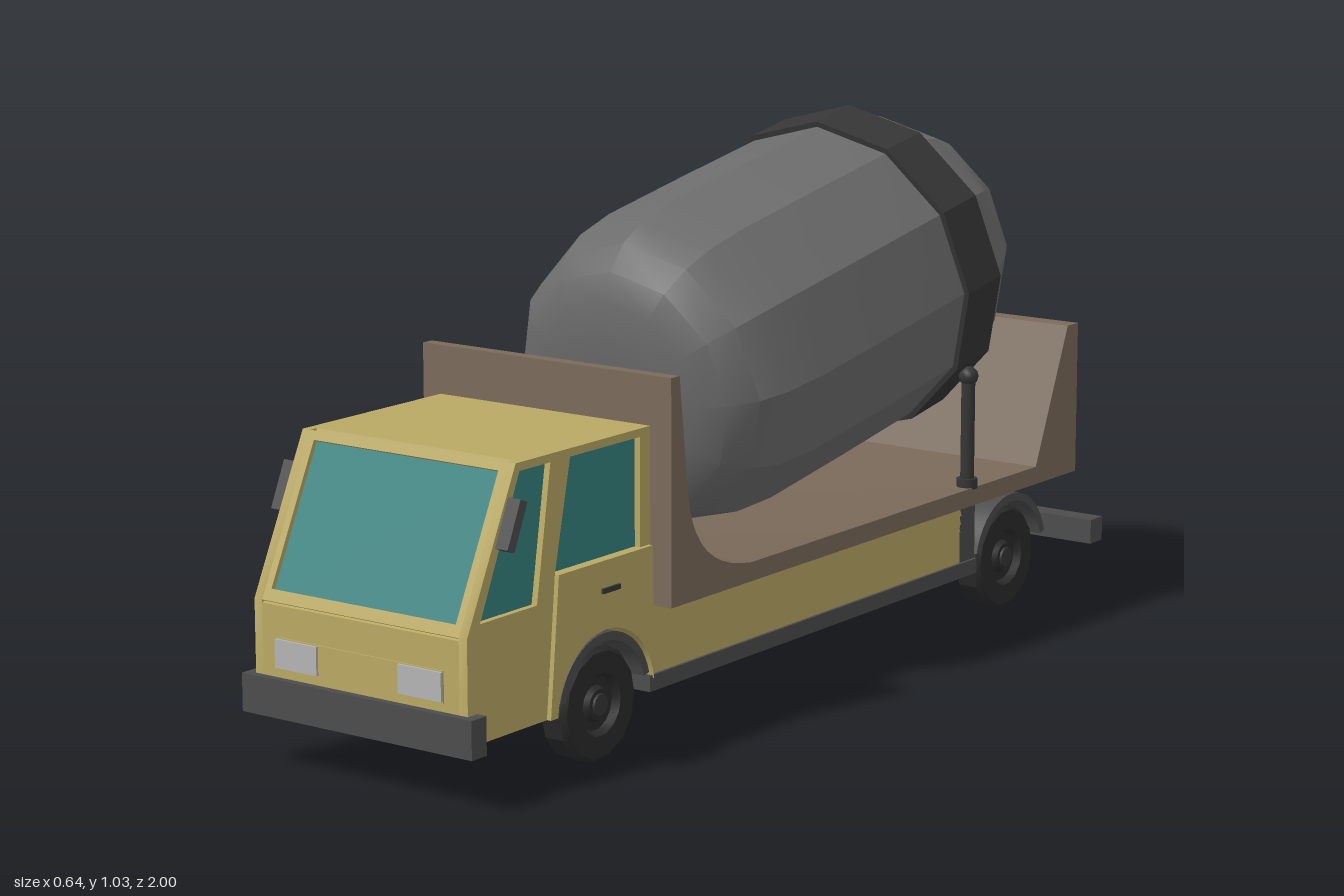
import * as THREE from 'three';
import { toCreasedNormals } from 'three/addons/utils/BufferGeometryUtils.js';

const mat = (color, side = THREE.FrontSide) => new THREE.MeshStandardMaterial({ color, side });
const YELLOW = mat(0xbaa964), BROWN = mat(0x7a6a5a), GLASS = mat(0x35827f), DRUM = mat(0x6c6c6c, THREE.DoubleSide);
const DARK = mat(0x363636), STEEL = mat(0x4c4c4c), TYRE = mat(0x2b2b2b), LAMP = mat(0xb4b4b4);
const AXLES = [0.61, -0.74], AXLE_Y = 0.11;

export function createModel() {
  const root = new THREE.Group();
  root.name = 'mixerTruck';

  const add = (name, geo, material, parent = root) => {
    const m = new THREE.Mesh(geo, material);
    m.name = name;
    parent.add(m);
    return m;
  };
  // Box given by its limits on each axis
  const box = (name, [x0, x1], [y0, y1], [z0, z1], material, parent) =>
    add(name, new THREE.BoxGeometry(x1 - x0, y1 - y0, z1 - z0)
      .translate((x0 + x1) / 2, (y0 + y1) / 2, (z0 + z1) / 2), material, parent);
  // Side profile (z, y) extruded across x
  const slab = (name, shape, x0, x1, material, crease = 0.5) => {
    const geo = new THREE.ExtrudeGeometry(shape, { depth: x1 - x0, bevelEnabled: false, curveSegments: 10 });
    geo.rotateY(-Math.PI / 2).translate(x1, 0, 0);
    return add(name, toCreasedNormals(geo, crease), material);
  };
  // Same slab on both sides of the truck
  const slabPair = (name, shape, x0, x1, material) => {
    slab(name + 'Left', shape, x0, x1, material);
    slab(name + 'Right', shape, -x1, -x0, material);
  };
  const poly = pts => new THREE.Shape(pts.map(p => new THREE.Vector2(...p)));

  // Cab: core with wheel arch, side skins with window openings
  const arch = shape => shape.absarc(AXLES[0], AXLE_Y, 0.14, 3.0, 0.07, true);
  const core = poly([[0.985, 0.12], [0.985, 0.305], [0.968, 0.31], [0.833, 0.59], [0.47, 0.59], [0.47, 0.13]]);
  arch(core);
  slab('cabCore', core, -0.222, 0.222, YELLOW);
  const windows = [
    [[0.95, 0.33], [0.84, 0.575], [0.755, 0.575], [0.795, 0.33]],
    [[0.745, 0.375], [0.70, 0.575], [0.50, 0.575], [0.50, 0.375]],
  ];
  const skin = poly([[0.985, 0.12], [0.985, 0.31], [0.85, 0.59], [0.47, 0.59], [0.47, 0.13]]);
  arch(skin);
  skin.holes = windows.map(w => new THREE.Path(w.map(p => new THREE.Vector2(...p))));
  slabPair('cabSide', skin, 0.222, 0.24, YELLOW);
  windows.forEach((w, i) => slabPair(['quarterWindow', 'doorWindow'][i], poly(w), 0.22, 0.228, GLASS));
  const door = poly([[0.77, 0.12], [0.745, 0.375], [0.475, 0.375], [0.472, 0.13]]);
  arch(door);
  slabPair('doorPanel', door, 0.238, 0.249, YELLOW);

  // Sloping windscreen with its frame
  const screen = new THREE.Group();
  screen.name = 'windscreen';
  screen.position.set(0, 0.31, 0.985);
  screen.rotation.x = -Math.atan2(0.135, 0.28);
  root.add(screen);
  const frame = poly([[-0.24, 0], [0.24, 0], [0.24, 0.311], [-0.24, 0.311]]);
  frame.holes.push(new THREE.Path([[-0.208, 0.022], [-0.208, 0.294], [0.208, 0.294], [0.208, 0.022]]
    .map(p => new THREE.Vector2(...p))));
  add('windscreenFrame', new THREE.ExtrudeGeometry(frame, { depth: 0.015, bevelEnabled: false })
    .translate(0, 0, -0.015), YELLOW, screen);
  box('windscreenGlass', [-0.215, 0.215], [0.015, 0.3], [-0.02, -0.009], GLASS, screen);

  // Cab details
  box('frontBumper', [-0.26, 0.26], [0.105, 0.175], [0.96, 1.0], STEEL);
  box('lampPanel', [-0.188, 0.188], [0.19, 0.248], [0.97, 0.988], YELLOW);
  for (const s of [-1, 1]) {
    const side = (a, b) => (s > 0 ? [a, b] : [-b, -a]);
    box('headlight', side(0.092, 0.188), [0.194, 0.246], [0.97, 0.993], LAMP);
    box('doorHandle', side(0.245, 0.254), [0.317, 0.326], [0.575, 0.625], DARK);
    const mirror = box('mirror', side(0.24, 0.267), [-0.045, 0.045], [-0.01, 0.01], STEEL);
    mirror.position.set(0, 0.49, 0.88);
    mirror.rotation.x = -0.42;

    // Chassis sides
    box('sidePanel', side(0.225, 0.24), [0.13, 0.27], [-0.56, 0.47], YELLOW);
    box('chassisRail', side(0.205, 0.246), [0.105, 0.135], [-0.61, 0.48], STEEL);

    // Wheels and mudguards
    for (const z of AXLES) {
      const wheel = new THREE.Group();
      wheel.name = 'wheel';
      wheel.position.set(s * 0.205, AXLE_Y, z);
      wheel.rotation.z = -s * Math.PI / 2;
      root.add(wheel);
      const tyre = [[0, -0.03], [0.095, -0.03], [0.106, -0.02], [0.106, 0.02], [0.098, 0.03],
        [0.058, 0.03], [0.05, 0.016], [0.034, 0.016], [0.028, 0.026], [0, 0.026]];
      add('tyre', toCreasedNormals(new THREE.LatheGeometry(
        tyre.map(p => new THREE.Vector2(...p)), 14), 0.4), TYRE, wheel);
      add('hub', new THREE.CylinderGeometry(0.02, 0.02, 0.006, 10).translate(0, 0.028, 0), DARK, wheel);

      const guard = new THREE.Shape();
      guard.absarc(z, AXLE_Y, 0.133, 0.25, Math.PI - 0.25, false);
      guard.absarc(z, AXLE_Y, 0.117, Math.PI - 0.25, 0.25, true);
      slab('mudguard', guard, ...side(0.165, 0.245), STEEL, 0.2);
    }

    // Drum support posts
    add('drumPost', new THREE.CylinderGeometry(0.014, 0.014, 0.23, 10)
      .translate(s * 0.265, 0.41, -0.54), DARK);
    add('postFoot', new THREE.CylinderGeometry(0.021, 0.021, 0.02, 10)
      .translate(s * 0.265, 0.305, -0.54), DARK);
    add('postCap', new THREE.SphereGeometry(0.02, 10, 6).translate(s * 0.265, 0.52, -0.54), DARK);
  }
  box('rearCrossMember', [-0.24, 0.24], [0.11, 0.268], [-0.61, -0.555], STEEL);
  box('rearBumper', [-0.305, 0.305], [0.105, 0.155], [-1.0, -0.955], STEEL);

  // Load bed with a curved front wall and sloping tail wall
  const bed = poly([[0.465, 0.262], [0.465, 0.68], [0.44, 0.68], [0.415, 0.46]]);
  bed.bezierCurveTo(0.40, 0.36, 0.34, 0.31, 0.22, 0.298);
  [[-0.77, 0.298], [-0.885, 0.57], [-0.925, 0.57], [-0.925, 0.262]].forEach(p => bed.lineTo(...p));
  slab('loadBed', bed, -0.285, 0.283, BROWN);

  // Drive motor
  box('driveMotor', [-0.045, 0.045], [0.31, 0.62], [0.335, 0.412], DARK);

  // Tilted drum group: local y runs along the drum axis to the rear
  const drum = new THREE.Group();
  drum.name = 'drumAssembly';
  drum.position.set(0, 0.712, -0.507);
  drum.rotation.x = -THREE.MathUtils.degToRad(80);
  root.add(drum);
  const turn = (name, pts, material, n = 12) => add(name, toCreasedNormals(
    new THREE.LatheGeometry(pts.map(p => new THREE.Vector2(...p)), n), 0.49), material, drum);
  turn('drum', [[0, -0.78], [0.1, -0.779], [0.18, -0.77], [0.235, -0.747], [0.275, -0.7], [0.297, -0.64],
    [0.308, -0.54], [0.31, -0.3], [0.31, 0], [0.296, 0.08], [0.268, 0.16], [0.232, 0.225], [0.185, 0.284],
    [0.13, 0.322], [0.07, 0.34], [0.07, 0.28], [0, 0.28]], DRUM);
  turn('drumRing', [[0.29, -0.058], [0.321, -0.058], [0.321, 0.058], [0.28, 0.058], [0.29, -0.058]], DARK);
  turn('driveShaft', [[0, -0.87], [0.016, -0.87], [0.016, -0.835], [0.027, -0.83], [0.027, -0.77], [0, -0.77]], DARK, 10);

  return root;
}
